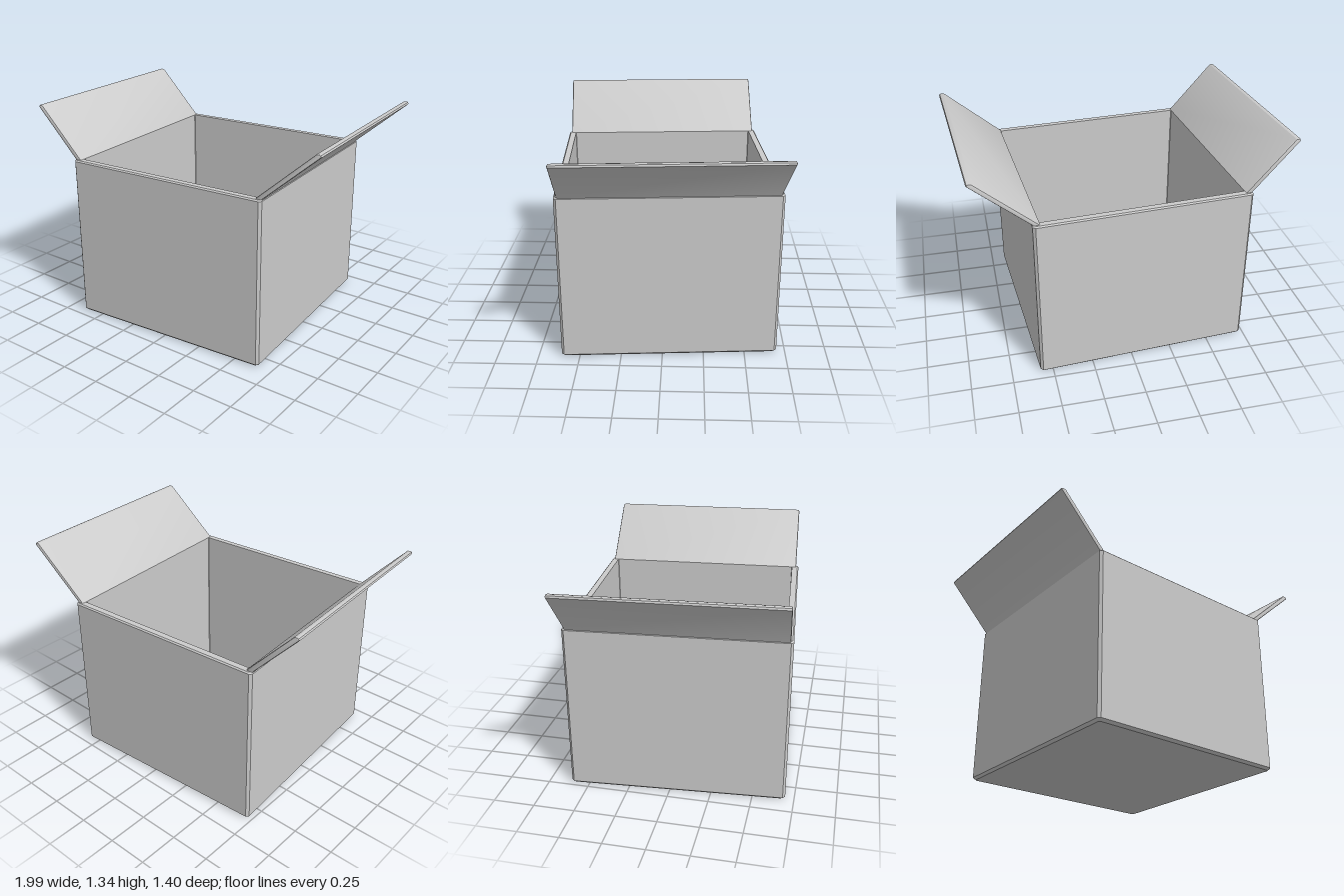
import * as THREE from 'three';
import { toCreasedNormals } from 'three/addons/utils/BufferGeometryUtils.js';

const HALF = 0.655, RIM = 1.035, WALL = 0.044;

// Square ring with cut corners at height y
function ring(half, y, cut) {
  const k = half - cut;
  return [[half, -k], [half, k], [k, half], [-k, half], [-half, k], [-half, -k], [-k, -half], [k, -half]]
    .map(([x, z]) => [x, y, z]);
}

// Skin a stack of rings and close the first and last one
function loft(rings) {
  const n = rings[0].length, index = [];
  for (let r = 0; r < rings.length - 1; r++) {
    for (let i = 0; i < n; i++) {
      const a = r * n + i, b = r * n + (i + 1) % n;
      index.push(a, a + n, b, b, a + n, b + n);
    }
  }
  const last = (rings.length - 1) * n;
  for (let i = 1; i < n - 1; i++) {
    index.push(0, i, i + 1);
    index.push(last, last + i + 1, last + i);
  }
  const geometry = new THREE.BufferGeometry();
  geometry.setAttribute('position', new THREE.Float32BufferAttribute(rings.flat(2), 3));
  geometry.setIndex(index);
  return toCreasedNormals(geometry, 0.5);
}

// Open lid flap: a leaning slab rooted in the rim, tipX is its outer reach
function flapGeometry(side, tipX) {
  const inner = HALF - WALL;
  const profile = [
    [inner + 0.012, RIM - 0.03], [HALF - 0.012, RIM - 0.03], [HALF - 0.002, RIM],
    [tipX, 1.327], [tipX - 0.004, 1.338], [tipX - 0.014, 1.342], [tipX - 0.03, 1.34], [inner, RIM],
  ];
  const shape = new THREE.Shape(profile.map(([x, y]) => new THREE.Vector2(side * x, y)));
  const bevel = 0.01, length = 1.278;
  const geometry = new THREE.ExtrudeGeometry(shape, {
    depth: length - 2 * bevel, bevelEnabled: true, bevelThickness: bevel,
    bevelSize: bevel, bevelOffset: -bevel, bevelSegments: 2,
  });
  geometry.translate(0, 0, bevel - length / 2);
  return toCreasedNormals(geometry, 0.7);
}

export function createModel() {
  const material = new THREE.MeshStandardMaterial({ color: 0xcccccc });
  const model = new THREE.Group();
  model.name = 'openBox';
  const add = (name, geometry) => {
    const mesh = new THREE.Mesh(geometry, material);
    mesh.name = name;
    model.add(mesh);
  };

  // Walls and floor: up the outside, over the rim and down the inside
  const inner = HALF - WALL;
  add('boxBody', loft([
    ring(HALF - 0.015, 0, 0.012),
    ring(HALF, 0.015, 0.015),
    ring(HALF, RIM - 0.008, 0.015),
    ring(HALF - 0.008, RIM, 0.012),
    ring(inner, RIM, 0.003),
    ring(inner, WALL, 0.003),
  ]));

  // The left flap lies a little further open than the right one
  add('leftFlap', flapGeometry(1, 0.987));
  add('rightFlap', flapGeometry(-1, 0.925));

  // The box stands slightly turned
  model.rotation.y = 0.068;
  model.position.x = -0.033;
  return model;
}
